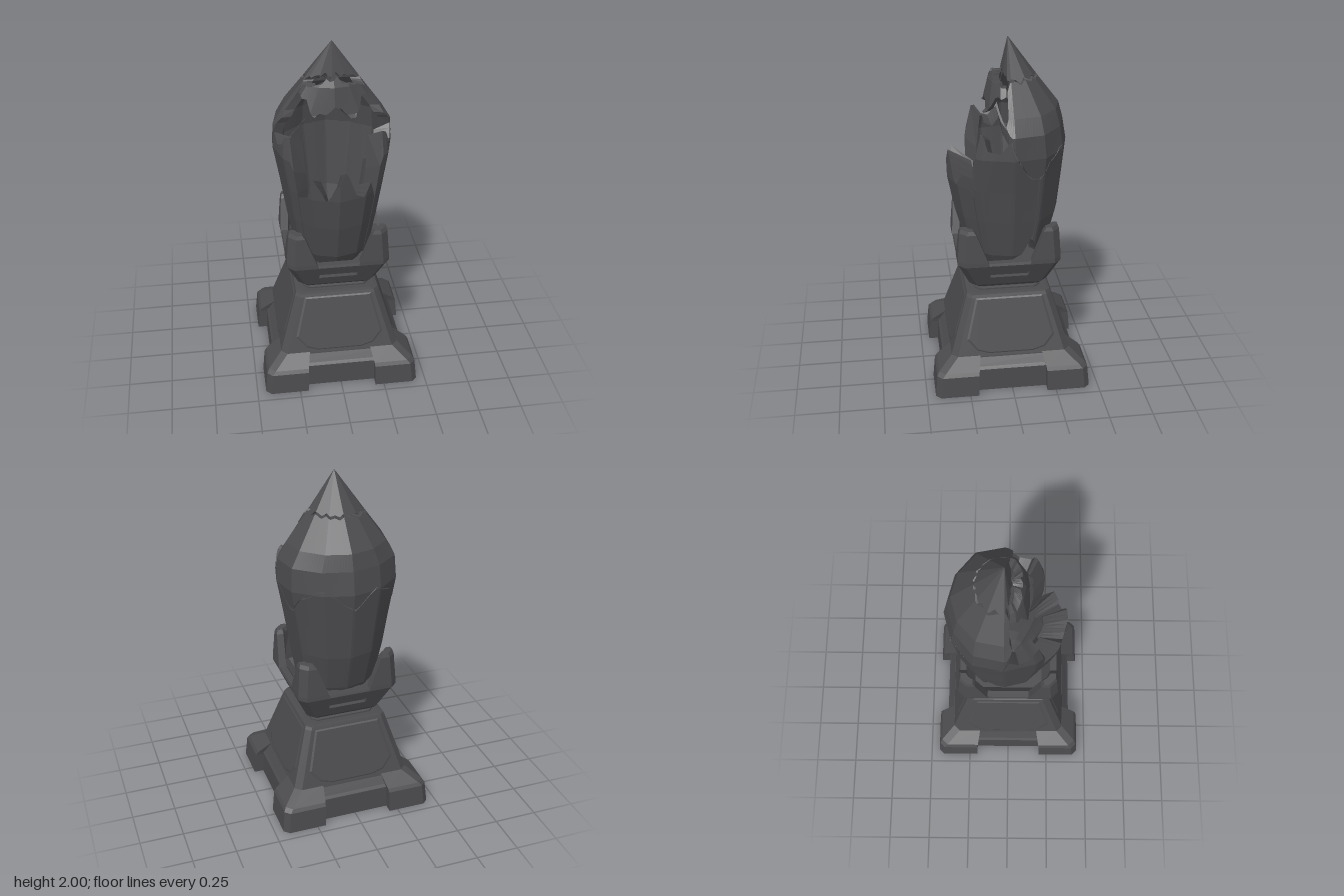
import * as THREE from 'three';

const stone = new THREE.MeshStandardMaterial({ color: 0x4b4b4e, flatShading: true });
stone.name = 'dark stone';

function toMesh(name, tris) {
  const geo = new THREE.BufferGeometry();
  geo.setAttribute('position', new THREE.Float32BufferAttribute(tris.flat(2), 3));
  geo.computeVertexNormals();
  const mesh = new THREE.Mesh(geo, stone);
  mesh.name = name;
  return mesh;
}

// Skin a list of equal-length rings; skip(s, k) leaves a face open
function loft(name, rings, { bottom = true, top = true, skip = () => false } = {}) {
  const tris = [];
  const n = rings[0].length;
  for (let s = 0; s < rings.length - 1; s++) {
    for (let k = 0; k < n; k++) {
      if (skip(s, k)) continue;
      const a = rings[s][k], b = rings[s][(k + 1) % n];
      const c = rings[s + 1][(k + 1) % n], d = rings[s + 1][k];
      tris.push([a, b, c], [a, c, d]);
    }
  }
  const first = rings[0], last = rings[rings.length - 1];
  for (let k = 1; k < n - 1; k++) {
    if (bottom) tris.push([first[0], first[k + 1], first[k]]);
    if (top) tris.push([last[0], last[k], last[k + 1]]);
  }
  return toMesh(name, tris);
}

// Square ring with cut corners
function octagon(y, h, c) {
  const i = h - c;
  return [[-i, h], [i, h], [h, i], [h, -i], [i, -h], [-i, -h], [-h, -i], [-h, i]].map(([x, z]) => [x, y, z]);
}
const stack = (name, list, opts) => loft(name, list.map((s) => octagon(...s)), opts);

// Four copies turned about the vertical axis
function fourTimes(name, make) {
  const group = new THREE.Group();
  group.name = name;
  for (let i = 0; i < 4; i++) {
    const part = make();
    part.rotation.y = i * Math.PI / 2;
    group.add(part);
  }
  return group;
}

function makeBase() {
  const base = new THREE.Group();
  base.name = 'base';
  base.add(stack('plinth', [[0, 0.395, 0.05], [0.135, 0.39, 0.05], [0.15, 0.378, 0.05], [0.195, 0.35, 0.05]]));
  base.add(stack('tower', [[0.14, 0.36, 0.035], [0.2, 0.347, 0.035], [0.53, 0.247, 0.03], [0.548, 0.24, 0.03], [0.552, 0.22, 0.03]]));

  // Corner feet: blocks sloping up into the tower
  const footRing = (y, a, b, c) => [[a, b], [b - c, b], [b, b - c], [b, a], [a, a]].map(([x, z]) => [x, y, z]);
  base.add(fourTimes('feet', () => loft('foot', [
    footRing(0, 0.2, 0.45, 0.03), footRing(0.125, 0.198, 0.438, 0.03),
    footRing(0.145, 0.195, 0.425, 0.035), footRing(0.205, 0.18, 0.346, 0.035),
  ])));

  // Raised panel on each sloping side
  const outline = [[-0.195, 0.53], [-0.255, 0.3], [-0.2, 0.235], [-0.13, 0.215], [0.13, 0.215], [0.2, 0.235], [0.255, 0.3], [0.195, 0.53]];
  const onFace = (shrink, lift) => outline.map(([x, y]) => {
    const yy = 0.37 + (y - 0.37) * shrink;
    return [x * shrink, yy, 0.347 - (yy - 0.2) * 0.303 + lift];
  });
  base.add(fourTimes('panels', () => loft('panel', [onFace(1, 0), onFace(0.95, 0.004)], { bottom: false })));

  base.add(stack('neck', [[0.545, 0.19, 0.03], [0.56, 0.19, 0.03], [0.565, 0.175, 0.03], [0.575, 0.175, 0.03], [0.58, 0.19, 0.03], [0.592, 0.19, 0.03]]));
  return base;
}

function makeCup() {
  const cup = new THREE.Group();
  cup.name = 'cup';
  // Bowl with its flat sides left open for the slotted faces
  const y0 = 0.605, y1 = 0.755, h0 = 0.225, h1 = 0.292, c = 0.04;
  cup.add(stack('bowl', [
    [0.585, 0.205, 0.035], [y0, h0, c], [y1, h1, c], [0.77, 0.287, c], [0.77, 0.25, c], [0.68, 0.2, c],
  ], { skip: (s, k) => s === 1 && k % 2 === 0 }));

  const at = (x, y, inset = 0) => [x, y, h0 + (y - y0) / (y1 - y0) * (h1 - h0) - inset];
  const quad = (w0, w1, a, b, inset) => [at(-w0, a, inset), at(w0, a, inset), at(w1, b, inset), at(-w1, b, inset)];
  cup.add(fourTimes('slotted sides', () => loft('slotted side', [
    quad(h0 - c, h1 - c, y0, y1, 0), quad(0.11, 0.115, 0.663, 0.695, 0), quad(0.105, 0.11, 0.666, 0.692, 0.025),
  ], { bottom: false })));

  // Corner prongs, L-shaped in plan
  const prongRing = (y, a, o, t) => [[o - t * 1.5, o - t * 1.5], [a, o - t], [a, o], [o - 0.04, o], [o, o - 0.04], [o, a], [o - t, a]]
    .map(([x, z]) => [x, y, z]);
  cup.add(fourTimes('prongs', () => loft('prong', [
    prongRing(0.755, 0.115, 0.294, 0.045), prongRing(0.78, 0.125, 0.294, 0.045),
    prongRing(0.95, 0.19, 0.282, 0.04), prongRing(0.972, 0.205, 0.274, 0.03),
  ])));
  return cup;
}

// Crystal profile: height, half width, front depth, back depth
const profile = [
  [0.62, 0.15, 0.15, 0.15], [0.78, 0.23, 0.245, 0.23], [1.0, 0.268, 0.305, 0.29], [1.2, 0.3, 0.345, 0.312],
  [1.4, 0.336, 0.35, 0.332], [1.53, 0.328, 0.3, 0.31], [1.62, 0.275, 0.14, 0.285], [1.77, 0.165, 0.11, 0.17], [2.0, 0, 0, 0],
];
const axisZ = -0.02;

// Point on the twelve-sided crystal; 0 degrees is the front, 90 is +x
function crystalPoint(deg, y, inset, frontScale) {
  let i = 0;
  while (i < profile.length - 2 && y > profile[i + 1][0]) i++;
  const p = profile[i], q = profile[i + 1];
  const t = (y - p[0]) / (q[0] - p[0]);
  const [, w, f, b] = p.map((v, j) => v + (q[j] - v) * t);
  const corner = (k) => {
    const a = k * Math.PI / 6, cos = Math.cos(a);
    const full = Math.abs(Math.abs(k) - 6) === 2 && cos < 0 ? 1.04 : 1; // fuller rear corners
    return [w * Math.sin(a) * full, cos * (cos > 0 ? f * frontScale : b) * full];
  };
  const k = Math.floor(deg / 30), u = deg / 30 - k;
  const A = corner(k), B = corner(k + 1);
  const x = A[0] + (B[0] - A[0]) * u, z = A[1] + (B[1] - A[1]) * u;
  const r = Math.hypot(x, z);
  const s = r > inset ? (r - inset) / r : 0;
  return [x * s, y, axisZ + z * s];
}

// Ragged offset that drifts between seeded values every nine degrees
function jag(deg) {
  const value = (n) => {
    const v = Math.sin(n * 12.9898) * 43758.5453;
    return v - Math.floor(v) - 0.5;
  };
  const n = Math.floor(deg / 9), u = deg / 9 - n;
  return (value(n) * (1 - u) + value(n + 1) * u) * 0.03;
}

// A thick piece of shell between two ragged edges: [degrees, low, high];
// drop lowers the inner rim so the break slants
function shard(name, edges, { thick = 0.06, drop = 0, frontScale = 1 } = {}) {
  const edgeAt = (deg, j) => {
    let i = 0;
    while (i < edges.length - 2 && deg > edges[i + 1][0]) i++;
    const p = edges[i], q = edges[i + 1];
    return p[j] + (q[j] - p[j]) * (deg - p[0]) / (q[0] - p[0]);
  };
  const start = edges[0][0], end = edges[edges.length - 1][0];
  const columns = [];
  for (let deg = start; deg <= end; deg += 3) {
    const low = edgeAt(deg, 1) + jag(deg);
    const edge = edgeAt(deg, 2);
    const high = edge < 2 ? edge + jag(deg) : 2;
    const side = (top, inset) => [low, ...profile.map((p) => Math.min(top, Math.max(low, p[0]))), top]
      .map((y) => crystalPoint(deg, y, inset, frontScale));
    columns.push([...side(high, 0), ...side(high - drop, thick).reverse()]);
  }
  const tris = [], n = columns[0].length;
  for (let i = 0; i < columns.length - 1; i++) {
    for (let j = 0; j < n; j++) {
      const a = columns[i][j], b = columns[i + 1][j];
      const c = columns[i + 1][(j + 1) % n], d = columns[i][(j + 1) % n];
      tris.push([a, b, c], [a, c, d]);
    }
  }
  // Broken side faces
  const A = columns[0], B = columns[columns.length - 1];
  for (let j = 0; j < n / 2 - 1; j++) {
    const m = n - 1 - j;
    tris.push([A[j], A[j + 1], A[m - 1]], [A[j], A[m - 1], A[m]]);
    tris.push([B[j], B[m - 1], B[j + 1]], [B[j], B[m], B[m - 1]]);
  }
  return toMesh(name, tris);
}

function makeCrystal() {
  const crystal = new THREE.Group();
  crystal.name = 'broken crystal';
  crystal.add(shard('front shard', [
    [-48, 0.7, 1.18], [-36, 0.7, 1.2], [-27, 0.7, 1.33], [-15, 0.7, 1.19], [-6, 0.7, 1.27], [6, 0.7, 1.37],
    [18, 0.7, 1.24], [27, 0.7, 1.2], [36, 0.7, 1.28], [48, 0.7, 1.15],
  ], { thick: 0.13, drop: 0.08 }));

  // Side shards, mirrored in angle
  const side = [[49, 0.72, 1.34], [52, 0.72, 1.53], [58, 0.72, 1.52], [64, 0.72, 1.46], [76, 0.72, 1.44], [85, 0.72, 1.5],
    [91, 0.74, 1.4], [103, 0.78, 1.3], [115, 0.9, 1.26]];
  crystal.add(shard('left side shard', side, { thick: 0.09, drop: 0.04 }));
  crystal.add(shard('right side shard', side.map(([d, l, h]) => [-d, l, h]).reverse(), { thick: 0.09, drop: 0.04 }));

  // Back: one crack line parts the lower and upper pieces
  const crack = [[116, 1.265], [128, 1.36], [152, 1.43], [182, 1.3], [206, 1.42], [230, 1.36], [245, 1.265]];
  const foot = [0.86, 0.78, 0.76, 0.76, 0.76, 0.78, 0.86];
  crystal.add(shard('lower back shard', crack.map(([d, y], i) => [d, foot[i], y - 0.005]), { drop: -0.02 }));
  crystal.add(shard('upper back shell', [
    [78, 1.58, 1.74], [85, 1.53, 1.77], [91, 1.41, 1.77], [103, 1.31, 1.78],
    ...crack.map(([d, y]) => [d, y, 1.775]),
    [257, 1.31, 1.78], [269, 1.41, 1.77], [275, 1.53, 1.77], [282, 1.58, 1.74],
  ], { thick: 0.055 }));

  // Fragment hanging in front, under the tip
  crystal.add(shard('front fragment', [
    [-75, 1.72, 1.76], [-45, 1.7, 1.77], [-24, 1.61, 1.79], [-12, 1.63, 1.81], [0, 1.68, 1.82],
    [12, 1.63, 1.81], [24, 1.61, 1.79], [45, 1.7, 1.77], [75, 1.72, 1.76],
  ], { thick: 0.05 }));

  // Solid tip, flatter in front
  crystal.add(shard('tip', [[-180, 1.79, 2], [-90, 1.785, 2], [-40, 1.81, 2], [0, 1.82, 2], [40, 1.81, 2], [90, 1.785, 2], [180, 1.79, 2]],
    { thick: 0.4, frontScale: 0.4 }));
  return crystal;
}

export function createModel() {
  const model = new THREE.Group();
  model.name = 'broken crystal pedestal';
  model.add(makeBase(), makeCup(), makeCrystal());
  return model;
}
